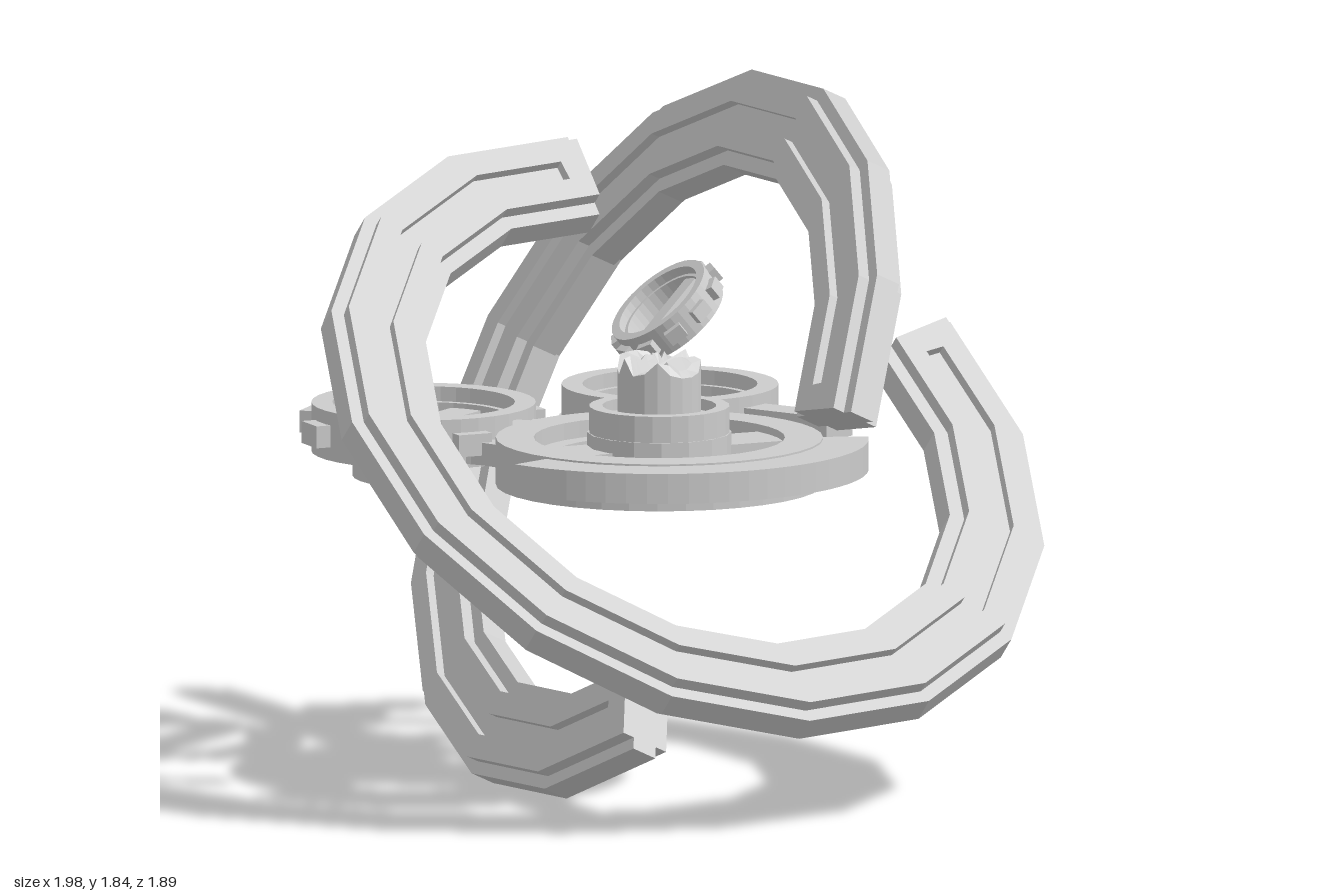
import * as THREE from 'three';

const mat = new THREE.MeshStandardMaterial({ color: 0xcccccc, flatShading: true, side: THREE.DoubleSide });
const TAU = Math.PI * 2, rad = THREE.MathUtils.degToRad;

function add(parent, name, geo, x = 0, y = 0, z = 0) {
  const m = new THREE.Mesh(geo, mat);
  m.name = name;
  m.position.set(x, y, z);
  parent.add(m);
  return m;
}

// flat ring or ring sector, angles run from +x toward +z
function flatRing(r0, r1, y0, y1, a0 = 0, a1 = 360, seg = 18) {
  const s = new THREE.Shape();
  if (a1 - a0 >= 360) {
    s.absarc(0, 0, r1, 0, TAU, false);
    const h = new THREE.Path();
    h.absarc(0, 0, r0, 0, TAU, true);
    s.holes.push(h);
  } else {
    s.absarc(0, 0, r1, rad(a0), rad(a1), false);
    s.absarc(0, 0, r0, rad(a1), rad(a0), true);
    s.closePath();
  }
  const g = new THREE.ExtrudeGeometry(s, { depth: y1 - y0, bevelEnabled: false, curveSegments: seg });
  return g.rotateX(Math.PI / 2).translate(0, y1, 0);
}

// flat plate from a top outline [x, z]
function plate(pts, y0, y1) {
  const s = new THREE.Shape(pts.map(p => new THREE.Vector2(...p)));
  const g = new THREE.ExtrudeGeometry(s, { depth: y1 - y0, bevelEnabled: false });
  return g.rotateX(Math.PI / 2).translate(0, y1, 0);
}

// stepped cross-section (radius, offset) with a groove in both faces
function section(R, groove) {
  const w = .07, v = .036;
  const half = [[.735, v], [.775, v], [.775, w], [.84, w], [.84, w - groove],
    [.9, w - groove], [.9, w], [.965, w], [.965, v], [1, v]];
  return [...half.map(([r, z]) => [r * R, -z]), ...half.slice().reverse().map(([r, z]) => [r * R, z])];
}

// open faceted hoop swept around its normal from a start direction
function hoop(R, sweep, segs) {
  const steps = [];
  for (let i = 0; i <= segs; i++) steps.push([i / segs, i === 0 || i === segs ? 0 : .025]);
  const e = .22 / segs;
  steps.splice(1, 0, [e, 0], [e, .025]);
  steps.splice(steps.length - 1, 0, [1 - e, .025], [1 - e, 0]);
  const pos = [], idx = [], n = section(R, 0).length;
  steps.forEach(([t, g]) => {
    // stay on the straight facet between two polygon corners
    const k = Math.min(Math.floor(t * segs + 1e-6), segs - 1), f = t * segs - k;
    const a = rad(sweep) * k / segs, b = rad(sweep) * (k + 1) / segs;
    const c = Math.cos(a) * (1 - f) + Math.cos(b) * f, s = Math.sin(a) * (1 - f) + Math.sin(b) * f;
    section(R, g).forEach(([r, z]) => pos.push(r * c, r * s, z));
  });
  for (let i = 0; i < steps.length - 1; i++) for (let j = 0; j < n; j++) {
    const a = i * n + j, b = i * n + (j + 1) % n;
    idx.push(a, a + n, b + n, a, b + n, b);
  }
  const last = (steps.length - 1) * n;
  const cap = section(R, 0).map(p => new THREE.Vector2(...p));
  THREE.ShapeUtils.triangulateShape(cap, []).forEach(([a, b, c]) => idx.push(a, b, c, last + a, last + c, last + b));
  const g = new THREE.BufferGeometry();
  g.setAttribute('position', new THREE.Float32BufferAttribute(pos, 3));
  g.setIndex(idx);
  const flat = g.toNonIndexed();
  flat.computeVertexNormals();
  return flat;
}

function placeHoop(root, name, R, sweep, center, normal, start) {
  const z = new THREE.Vector3(...normal).normalize();
  const x = new THREE.Vector3(...start).projectOnPlane(z).normalize();
  const y = z.clone().cross(x);
  const m = add(root, name, hoop(R, sweep, 13), ...center);
  m.quaternion.setFromRotationMatrix(new THREE.Matrix4().makeBasis(x, y, z));
}

// ring wheel with a cross bar and optional teeth, centred on its own middle
function wheel(name, r0, r1, h, barAngle, teeth, tooth) {
  const g = new THREE.Group();
  g.name = name;
  add(g, 'rim', flatRing(r0, r1, -h / 2, h / 2));
  add(g, 'innerLip', flatRing(r0 - r1 * .06, r0 + .005, -h / 2, h * .2));
  const bar = add(g, 'crossBar', new THREE.BoxGeometry(r0 * 2, h * .6, r1 * .3), 0, -h * .2, 0);
  bar.rotation.y = barAngle;
  for (let i = 0; i < teeth; i++) {
    const a = i / teeth * TAU;
    const t = add(g, 'tooth', new THREE.BoxGeometry(tooth * 1.4, h * .45, tooth * 1.9),
      Math.cos(a) * r1, 0, Math.sin(a) * r1);
    t.rotation.y = -a;
  }
  return g;
}

// round post whose top is cut into parallel ridges
function ridgedPost(r, y0, y1) {
  const profile = [[r, y0], [r, y1]];
  for (let i = 5; i >= 0; i--) profile.push([r * i / 6, y1]);
  const g = new THREE.LatheGeometry(profile.map(p => new THREE.Vector2(...p)), 20);
  const p = g.attributes.position;
  for (let i = 0; i < p.count; i++) {
    if (p.getY(i) < y1 - .001) continue;
    const q = p.getX(i) * .9 + p.getZ(i) * .43;
    p.setY(i, y1 - .055 * Math.abs(Math.sin(q * 36 + .6)));
  }
  g.computeVertexNormals();
  return g;
}

export function createModel() {
  const root = new THREE.Group();
  root.name = 'orrery';

  // two large tilted open hoops
  placeHoop(root, 'uprightHoop', 1.015, 295, [.015, .92, -.11], [-.6, .435, .67], [.67, .17, .52]);
  placeHoop(root, 'slantedHoop', 1.015, 293, [.13, .935, 0], [.547, .755, .362], [-.46, .595, -.47]);

  // central disc with side flange, spokes and hub
  const core = new THREE.Group();
  core.name = 'centralDisc';
  core.position.set(.11, 0, .12);
  root.add(core);
  add(core, 'discRim', flatRing(.33, .43, .83, .955));
  add(core, 'discInnerLip', flatRing(.28, .335, .83, .91));
  add(core, 'sideFlange', flatRing(.425, .55, .87, .95, -25, 113, 12));
  for (const s of [-1, 1]) {
    const spoke = add(core, 'spoke', new THREE.BoxGeometry(.2, .1, .16), s * .18, .885, -s * .18);
    spoke.rotation.y = Math.PI / 4;
  }
  add(core, 'hubBase', new THREE.CylinderGeometry(.19, .19, .14, 16), 0, .9, 0);
  add(core, 'hubCollar', flatRing(.15, .185, .96, 1.04, 0, 360, 12));
  add(core, 'hubStep', flatRing(.1, .155, .96, 1.01, 0, 360, 12));
  add(core, 'hubPost', ridgedPost(.11, .9, 1.18));

  // side wheels
  const toothed = wheel('toothedWheel', .24, .295, .13, rad(80), 8, .05);
  toothed.position.set(-.655, .895, -.155);
  const plain = wheel('plainWheel', .23, .285, .13, rad(17), 0, 0);
  plain.position.set(-.15, .895, -.65);
  add(plain, 'baseFlange', flatRing(.23, .295, -.065, -.025));
  root.add(toothed, plain);

  // small tilted toothed wheel above the disc
  const small = wheel('smallTiltedWheel', .125, .15, .085, rad(60), 11, .026);
  small.position.set(-.15, 1.155, -.63);
  small.quaternion.setFromUnitVectors(new THREE.Vector3(0, 1, 0), new THREE.Vector3(-.45, .75, .44).normalize());
  root.add(small);

  // open link ring and connecting arms
  add(root, 'openLink', flatRing(.18, .24, .84, .9, 55, 330, 12), -.45, 0, .24);
  add(root, 'backArm', plate([[-.1, -.4], [-.03, -.4], [.06, -.24], [-.1, -.22]], .87, .94));
  add(root, 'leftArm', plate([[-.38, -.09], [-.28, -.09], [-.24, .02], [-.34, .02]], .87, .94));
  add(root, 'pointedArm', plate([[.08, -.62], [.4, -.55], [.36, -.46], [.08, -.53]], .87, .93));

  return root;
}
